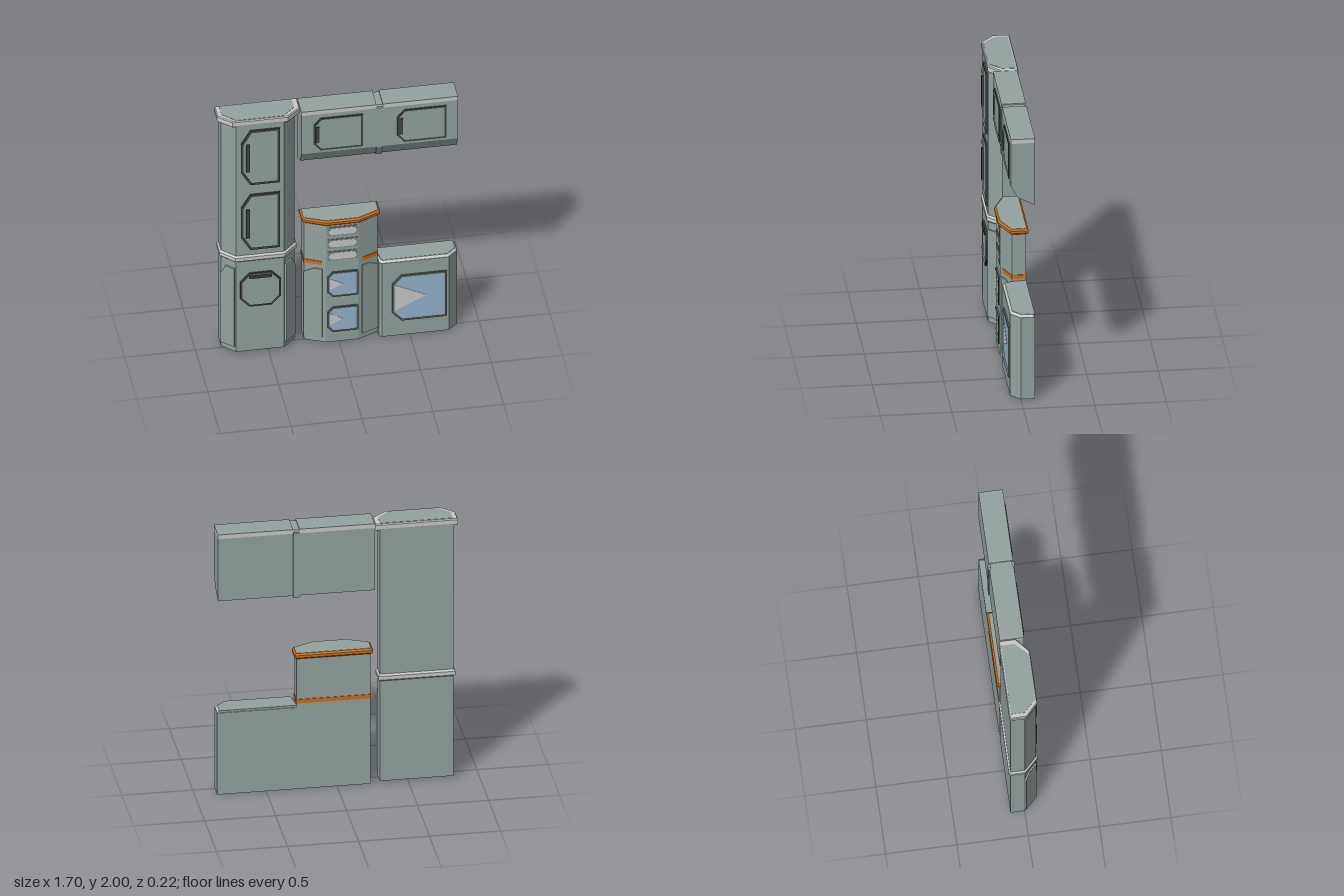
import * as THREE from 'three';

const mat = (name, color, side = THREE.FrontSide) => {
  const m = new THREE.MeshStandardMaterial({ color, side });
  m.name = name;
  return m;
};

// Offset a convex outline outwards by d (mitred corners)
function offset(pts, d) {
  const n = pts.length;
  const normal = (a, b) => {
    const dx = b[0] - a[0], dy = b[1] - a[1], l = Math.hypot(dx, dy);
    return [-dy / l, dx / l];
  };
  return pts.map((p, i) => {
    const n1 = normal(pts[(i + n - 1) % n], p), n2 = normal(p, pts[(i + 1) % n]);
    const k = d / (1 + n1[0] * n2[0] + n1[1] * n2[1]);
    return [p[0] + (n1[0] + n2[0]) * k, p[1] + (n1[1] + n2[1]) * k];
  });
}

// Stack an [x, z] outline through levels of [y, offset], capped at both ends
function loft(outline, levels) {
  const rings = levels.map(([y, d]) => offset(outline, d).map(([x, z]) => [x, y, z]));
  const n = outline.length, pos = [];
  const tri = (a, b, c) => pos.push(...a, ...b, ...c);
  for (let r = 0; r < rings.length - 1; r++) {
    for (let i = 0; i < n; i++) {
      const j = (i + 1) % n, lo = rings[r], hi = rings[r + 1];
      tri(lo[i], lo[j], hi[j]);
      tri(lo[i], hi[j], hi[i]);
    }
  }
  const bottom = rings[0], top = rings[rings.length - 1];
  for (let i = 1; i < n - 1; i++) {
    tri(top[0], top[i], top[i + 1]);
    tri(bottom[0], bottom[i + 1], bottom[i]);
  }
  const g = new THREE.BufferGeometry();
  g.setAttribute('position', new THREE.Float32BufferAttribute(pos, 3));
  g.computeVertexNormals();
  return g;
}

// Flat plate from an [x, y] outline, optionally with a hole
function plate(pts, depth, hole) {
  const v = (list) => list.map(([x, y]) => new THREE.Vector2(x, y));
  const s = new THREE.Shape(v(pts));
  if (hole) s.holes.push(new THREE.Path(v(hole)));
  return new THREE.ExtrudeGeometry(s, { depth, bevelEnabled: false });
}

// Rectangle with cut corners: [cutX, cutY] on the left and right sides
function cutRect(x0, x1, y0, y1, [lx, ly], [rx, ry] = [0, 0]) {
  const right = rx ? [[x1 - rx, y1], [x1, y1 - ry], [x1, y0 + ry], [x1 - rx, y0]] : [[x1, y1], [x1, y0]];
  return [[x0 + lx, y0], [x0, y0 + ly], [x0, y1 - ly], [x0 + lx, y1], ...right];
}

export function createModel() {
  const body = mat('cabinet grey green', 0x94a3a0);
  const light = mat('light trim', 0xcacaca);
  const dark = mat('dark frame', 0x424444);
  const ovenFrame = mat('oven frame', 0x56615f);
  const drawerFrame = mat('drawer frame', 0x7f8b89);
  const glass = mat('blue glass', 0x93b5cb);
  const orange = mat('orange worktop', 0xd0701c);

  const root = new THREE.Group();
  const group = (name) => {
    const g = new THREE.Group();
    g.name = name;
    root.add(g);
    return g;
  };
  const add = (parent, name, geometry, material, x = 0, y = 0, z = 0) => {
    const m = new THREE.Mesh(geometry, material);
    m.name = name;
    m.position.set(x, y, z);
    parent.add(m);
    return m;
  };
  const bar = (parent, x0, x1, y0, y1, z) =>
    add(parent, 'handle', new THREE.BoxGeometry(x1 - x0, y1 - y0, 0.016), dark, (x0 + x1) / 2, (y0 + y1) / 2, z + 0.008);
  // Raised frame around a thin infill
  const framed = (parent, name, pts, z, width, frameMat, fillMat, depth = 0.012) => {
    const inner = offset(pts, -width);
    add(parent, name + 'Frame', plate(pts, depth, inner), frameMat, 0, 0, z);
    add(parent, name + 'Infill', plate(inner, 0.004), fillMat, 0, 0, z);
  };
  // Raised plate on the angled wall from a to b, in wall coordinates
  const wallPlate = (parent, a, b, pts, depth) => {
    const m = add(parent, 'cornerPanel', plate(pts, depth), body, a[0], 0, a[1]);
    m.rotation.y = Math.atan2(a[1] - b[1], b[0] - a[0]);
  };
  // Matching pair of corner panels, each with a sloped outer top corner
  const cornerPanels = (parent, outline, u1, y0, y1, slopeU, slopeY, depth) => {
    const len = Math.hypot(outline[2][0] - outline[1][0], outline[2][1] - outline[1][1]);
    const pts = [[0, y0], [0, y1 - slopeY], [slopeU, y1], [u1, y1], [u1, y0]];
    wallPlate(parent, outline[1], outline[2], pts, depth);
    wallPlate(parent, outline[3], outline[4], pts.map(([u, y]) => [len - u, y]), depth);
  };

  // Tall cabinet
  const tall = group('tallCabinet');
  const tallPlan = [[-0.82, -0.1], [-0.82, 0], [-0.73, 0.09], [-0.39, 0.09], [-0.3, 0], [-0.3, -0.1]];
  const crownPlan = [[-0.85, -0.11], [-0.85, 0.01], [-0.755, 0.097], [-0.365, 0.097], [-0.266, 0.01], [-0.266, -0.11]];
  add(tall, 'tallBody', loft(tallPlan, [[0.015, 0], [1.96, 0]]), body);
  add(tall, 'crown', loft(crownPlan, [[1.95, -0.004], [1.96, 0], [1.99, 0], [1.998, -0.006]]), light);
  add(tall, 'crownTop', loft(tallPlan, [[1.99, -0.004], [2, -0.004]]), body);
  add(tall, 'waistBand', loft(tallPlan, [[0.785, 0], [0.797, 0.012], [0.825, 0.012], [0.838, 0]]), light);
  cornerPanels(tall, tallPlan, 0.12, 0.06, 0.73, 0.045, 0.09, 0.013);
  for (const [y0, y1, h0, h1] of [[1.443, 1.907, 1.56, 1.788], [0.886, 1.358, 0.99, 1.232]]) {
    framed(tall, 'tallDoor', cutRect(-0.695, -0.42, y0, y1, [0.065, 0.11]), 0.09, 0.018, dark, body);
    bar(tall, -0.66, -0.635, h0, h1, 0.092);
  }
  framed(tall, 'lowerHatch', cutRect(-0.7, -0.415, 0.4, 0.685, [0.065, 0.07], [0.065, 0.07]), 0.09, 0.014, dark, body);
  bar(tall, -0.635, -0.48, 0.64, 0.66, 0.092);

  // Wall cabinets with a sloped underside and a recessed joint
  const wall = group('wallCabinets');
  const profile = [[0.1, 1.49], [-0.02, 1.55], [-0.07, 1.64], [-0.07, 1.968], [0.1, 1.968]];
  for (const [name, x0, x1, inset] of [['left', -0.265, 0.265, 0], ['right', 0.31, 0.84, 0], ['joint', 0.265, 0.31, -0.008]]) {
    const side = plate(inset ? offset([...profile].reverse(), inset) : profile, x1 - x0);
    side.rotateY(Math.PI / 2);
    add(wall, name + 'WallBody', side, body, x0);
    const zb = -0.1 - inset, zf = 0.07 + inset;
    const plan = [[x0, zb], [x0, zf], [x1, zf], [x1, zb]];
    add(wall, name + 'WallTrim', loft(plan, [[1.955 - inset, inset ? 0 : -0.004], [1.968, 0], [1.998 + inset, 0]]), light);
    add(wall, name + 'WallTop', loft(plan, [[1.998 + inset, 0], [2 + inset, 0]]), body);
  }
  for (const x of [-0.18, 0.41]) {
    framed(wall, 'wallDoor', cutRect(x, x + 0.347, 1.662, 1.936, [0.05, 0.06]), 0.07, 0.014, dark, body, 0.008);
    bar(wall, x + 0.015, x + 0.04, 1.73, 1.865, 0.066);
  }

  // Middle unit with drawers and two ovens
  const middle = group('ovenCabinet');
  const midPlan = [[-0.235, -0.1], [-0.235, 0], [-0.09, 0.065], [0.14, 0.065], [0.285, 0], [0.285, -0.1]];
  const bandPlan = [[-0.235, -0.1], [-0.235, 0], [-0.125, 0.049], [0.175, 0.049], [0.285, 0], [0.285, -0.1]];
  add(middle, 'ovenBody', loft(midPlan, [[0, 0], [1.01, 0]]), body);
  add(middle, 'worktopEdge', loft(midPlan, [[1.003, 0.004], [1.015, 0.016], [1.033, 0.016], [1.044, 0.004]]), orange);
  add(middle, 'worktopSurface', loft(midPlan, [[1.04, 0.002], [1.046, 0.002]]), body);
  add(middle, 'sideBand', loft(bandPlan, [[0.66, 0.004], [0.69, 0.004]]), orange);
  cornerPanels(middle, midPlan, 0.132, 0.04, 0.625, 0.075, 0.04, 0.007);
  for (const y of [0.7, 0.805, 0.91]) {
    add(middle, 'drawerFront', plate(cutRect(-0.08, 0.135, y, y + 0.075, [0.003, 0.003]), 0.004), drawerFrame, 0, 0, 0.065);
    add(middle, 'drawerPull', plate(cutRect(-0.07, 0.125, y + 0.009, y + 0.066, [0.018, 0.018], [0.018, 0.018]), 0.007), light, 0, 0, 0.065);
  }
  // Light wedge painted on the glass
  const glint = (parent, x0, x1, y, half, z) =>
    add(parent, 'glassHighlight', plate([[x0, y - half], [x0, y + half], [x1, y]], 0.003), light, 0, 0, z);
  for (const y of [0.09, 0.39]) {
    framed(middle, 'ovenDoor', cutRect(-0.08, 0.135, y, y + 0.21, [0.035, 0.04], [0.006, 0.006]), 0.065, 0.013, ovenFrame, glass);
    glint(middle, -0.066, 0.027, y + 0.105, 0.05, 0.068);
  }

  // Low unit with a large glass door
  const low = group('lowCabinet');
  const lowPlan = [[0.285, -0.1], [0.285, 0.05], [0.303, 0.068], [0.775, 0.068], [0.846, 0], [0.846, -0.1]];
  const lowTop = [[0.285, -0.1], [0.3, 0.035], [0.315, 0.05], [0.765, 0.05], [0.828, -0.008], [0.828, -0.1]];
  add(low, 'lowBody', loft(lowPlan, [[0, 0], [0.627, 0]]), body);
  add(low, 'lowTrim', loft(lowPlan, [[0.625, 0], [0.643, -0.016]]), light);
  add(low, 'lowTop', loft(lowTop, [[0.63, 0], [0.645, 0]]), body);
  framed(low, 'glassDoor', cutRect(0.375, 0.76, 0.13, 0.517, [0.065, 0.07]), 0.068, 0.015, ovenFrame, glass);
  glint(low, 0.39, 0.62, 0.325, 0.112, 0.071);

  return root;
}
